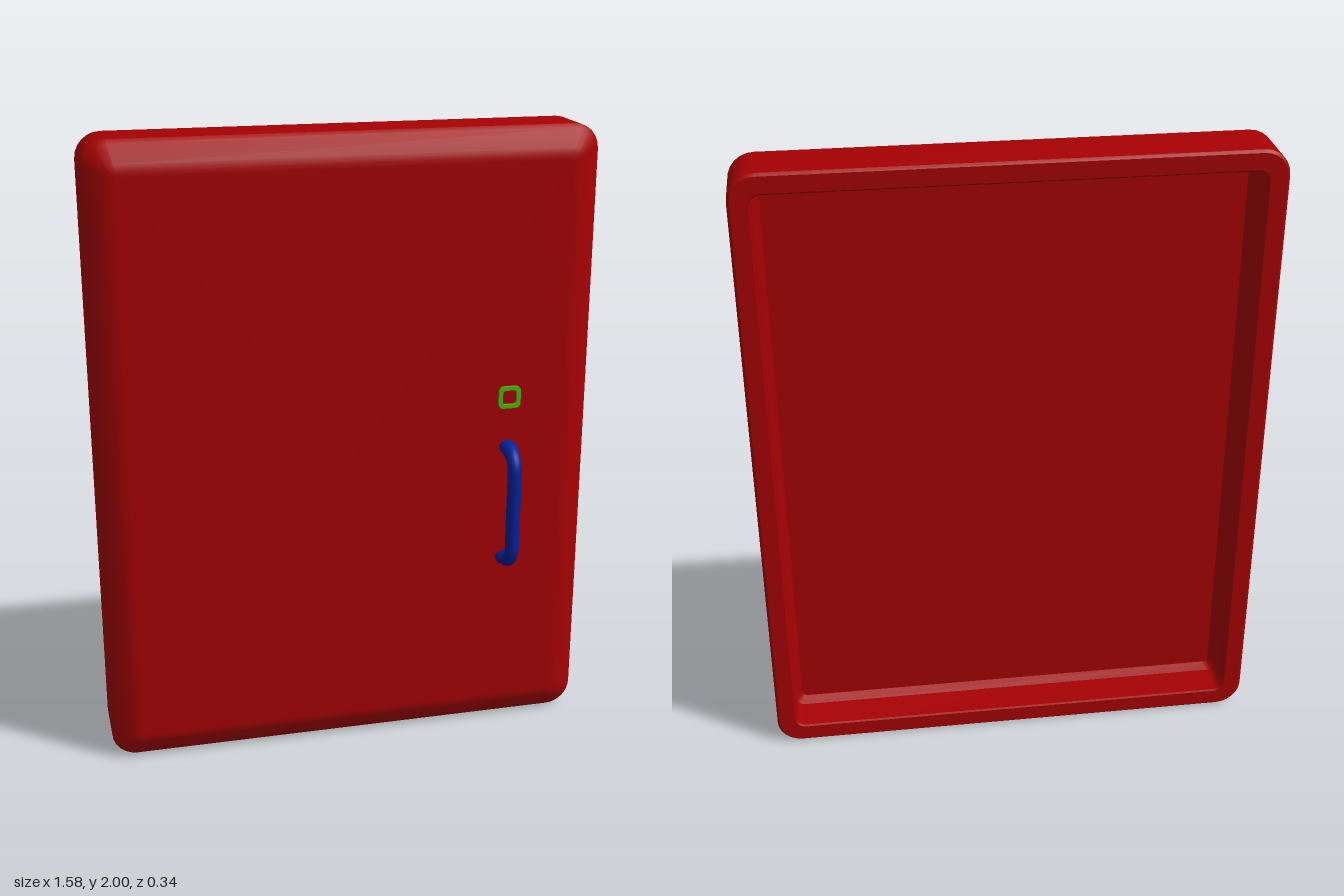
import * as THREE from 'three';
import { toCreasedNormals } from 'three/addons/utils/BufferGeometryUtils.js';

const W = 0.79, H = 1; // half width and half height of the door

// Outline of a rounded rectangle, counter-clockwise seen from the front
function roundedOutline(w, h, r, steps = 6) {
  const points = [];
  const corners = [[1, 1], [-1, 1], [-1, -1], [1, -1]];
  corners.forEach(([sx, sy], k) => {
    for (let i = 0; i <= steps; i++) {
      const a = (k + i / steps) * Math.PI / 2;
      points.push([sx * (w - r) + r * Math.cos(a), sy * (h - r) + r * Math.sin(a)]);
    }
  });
  return points;
}

// Closed skin through sections [inset, z, corner radius], flat at both ends
function loft(sections) {
  const positions = [], index = [];
  let n = 0;
  for (const [inset, z, r] of sections) {
    const ring = roundedOutline(W - inset, H - inset, r);
    n = ring.length;
    for (const [x, y] of ring) positions.push(x, y, z);
  }
  const last = sections.length - 1;
  const back = (last + 1) * n, front = back + 1;
  positions.push(0, 0, sections[0][1], 0, 0, sections[last][1]);
  for (let j = 0; j < n; j++) {
    const k = (j + 1) % n;
    for (let i = 0; i < last; i++) {
      const a = i * n + j, b = i * n + k;
      index.push(a, b, b + n, a, b + n, a + n);
    }
    index.push(back, k, j, front, last * n + j, last * n + k);
  }
  const geometry = new THREE.BufferGeometry();
  geometry.setAttribute('position', new THREE.Float32BufferAttribute(positions, 3));
  geometry.setIndex(index);
  return toCreasedNormals(geometry, 0.6);
}

function part(name, geometry, color) {
  const mesh = new THREE.Mesh(geometry, new THREE.MeshStandardMaterial({ color }));
  mesh.name = name;
  return mesh;
}

function roundedPath(PathType, half, r) {
  return new PathType(roundedOutline(half, half, r).map(([x, y]) => new THREE.Vector2(x, y)));
}

// Round bar bent towards the door at both ends, its feet widening sideways
function handleGeometry() {
  const v = (y, z) => new THREE.Vector3(0, y, z);
  const path = new THREE.CurvePath();
  path.add(new THREE.LineCurve3(v(-0.193, 0.04), v(-0.192, 0.075)));
  path.add(new THREE.QuadraticBezierCurve3(v(-0.192, 0.075), v(-0.185, 0.145), v(-0.12, 0.145)));
  path.add(new THREE.LineCurve3(v(-0.12, 0.145), v(0.12, 0.145)));
  path.add(new THREE.QuadraticBezierCurve3(v(0.12, 0.145), v(0.185, 0.145), v(0.192, 0.075)));
  path.add(new THREE.LineCurve3(v(0.192, 0.075), v(0.193, 0.04)));
  const geometry = new THREE.TubeGeometry(path, 60, 0.0225, 16);
  const p = geometry.attributes.position;
  for (let i = 0; i < p.count; i++) {
    const foot = THREE.MathUtils.smoothstep(0.13 - p.getZ(i), 0, 0.06);
    p.setX(i, p.getX(i) * (1 + 0.25 * foot));
  }
  geometry.computeVertexNormals();
  return geometry;
}

export function createModel() {
  const group = new THREE.Group();
  group.name = 'door';

  // Door panel: shallow hollow back, rim, side walls, bevelled front
  const panel = part('doorPanel', loft([
    [0.085, -0.04, 0.02],
    [0.063, -0.06, 0.03],
    [0.063, -0.165, 0.03],
    [0.058, -0.169, 0.035],
    [0.008, -0.169, 0.072],
    [0, -0.161, 0.08],
    [0, 0.007, 0.08],
    [0.012, 0.024, 0.07],
    [0.065, 0.058, 0.03],
    [0.085, 0.064, 0.015],
    [0.1, 0.064, 0.01],
  ]), 0xa80103);
  panel.position.y = H;
  group.add(panel);

  // Lock surround: thin rounded square ring
  const ring = roundedPath(THREE.Shape, 0.036, 0.016);
  ring.holes.push(roundedPath(THREE.Path, 0.023, 0.009));
  const lock = part('lockRing', toCreasedNormals(
    new THREE.ExtrudeGeometry(ring, { depth: 0.024, bevelEnabled: false }), 0.6), 0x4cb80a);
  lock.position.set(0.512, 1.157, 0.05);
  group.add(lock);

  // Pull handle
  const handle = part('handle', handleGeometry(), 0x02229c);
  handle.position.set(0.512, 0.797, 0);
  group.add(handle);

  return group;
}
